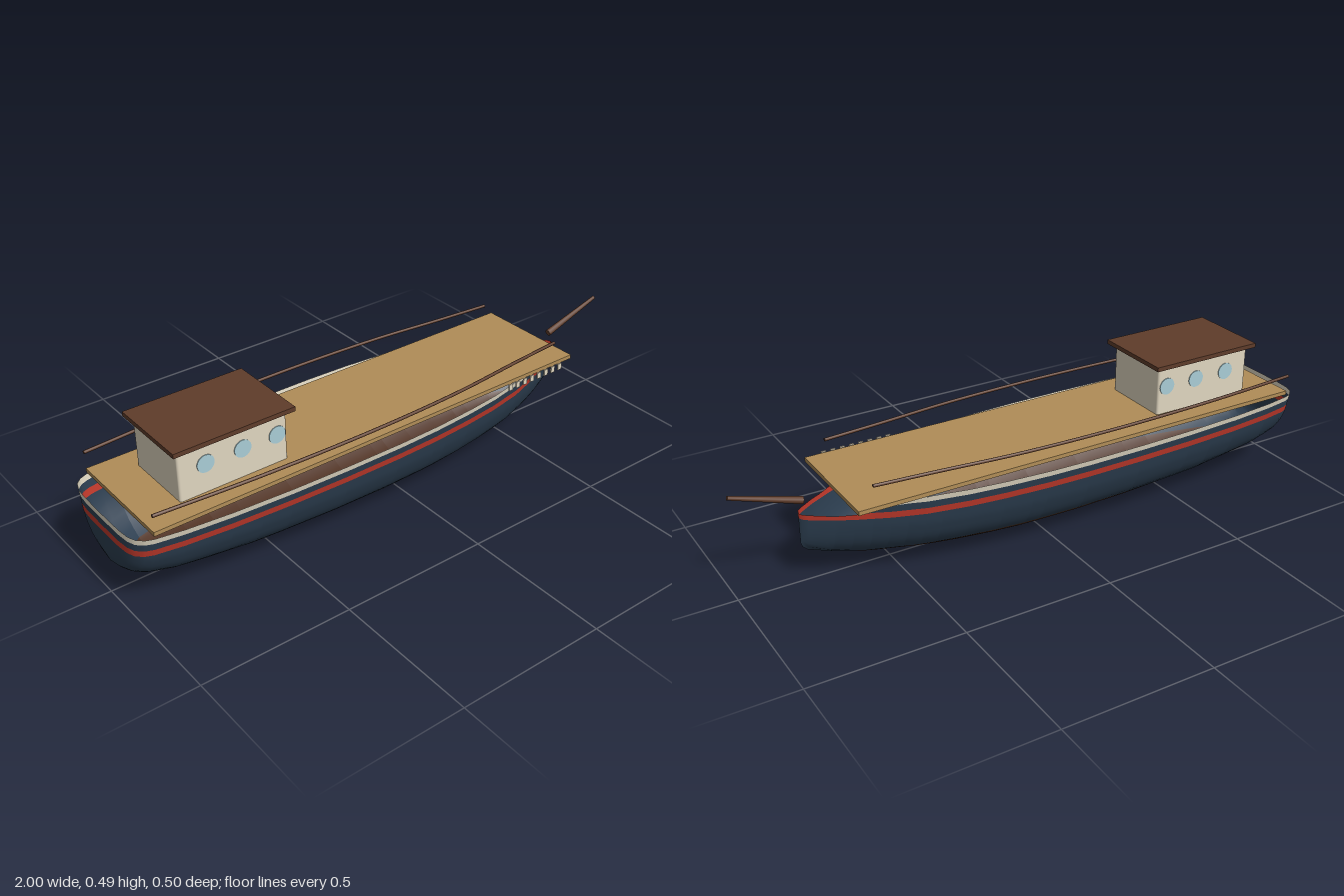
import * as THREE from 'three';
import { RoundedBoxGeometry } from 'three/addons/geometries/RoundedBoxGeometry.js';

const mat = (name, color, side = THREE.FrontSide) =>
  Object.assign(new THREE.MeshStandardMaterial({ color, side }), { name });

// Smooth-enough lookup in a short list of [x, value] pairs
function lookup(table, x) {
  let i = 1;
  while (i < table.length - 1 && table[i][0] < x) i++;
  const [x0, a] = table[i - 1], [x1, b] = table[i];
  return THREE.MathUtils.lerp(a, b, THREE.MathUtils.clamp((x - x0) / (x1 - x0), 0, 1));
}

// Hull lines: half width in plan, keel height, sheer height, section fullness
const PLAN = [[-1, 0], [-0.999, 0.1], [-0.995, 0.145], [-0.985, 0.173], [-0.965, 0.192], [-0.94, 0.202], [-0.85, 0.217],
  [-0.7, 0.232], [-0.5, 0.243], [-0.3, 0.248], [-0.1, 0.248], [0.05, 0.243], [0.2, 0.231], [0.32, 0.216],
  [0.45, 0.189], [0.55, 0.153], [0.65, 0.106], [0.72, 0.066], [0.77, 0.03], [0.785, 0.015], [0.79, 0]];
const KEEL = [[-1, 0.14], [-0.99, 0.112], [-0.97, 0.092], [-0.94, 0.075], [-0.85, 0.05], [-0.6, 0.02],
  [-0.3, 0.005], [-0.1, 0.001], [0.1, 0.002], [0.2, 0.008], [0.4, 0.024], [0.6, 0.052], [0.7, 0.077], [0.77, 0.105], [0.785, 0.118], [0.79, 0.135]];
const SHEER = [[0.44, 0.285], [0.5, 0.278], [0.55, 0.263], [0.6, 0.247], [0.65, 0.238], [0.69, 0.235], [0.79, 0.237]];
const SECTION = [[0, 0], [0.015, 0.1], [0.07, 0.32], [0.13, 0.47], [0.21, 0.61], [0.31, 0.73], [0.42, 0.815],
  [0.6, 0.905], [0.82, 0.96], [1, 1]];

// Hull shell lofted from cross-sections, with one material group per paint band
function hullGeometry() {
  const levels = [0, 0.075, 0.22, 0.242, 0.266, 0.285], steps = [7, 8, 1, 1, 1];
  const rows = [];
  steps.forEach((n, band) => {
    for (let k = 0; k < n; k++) rows.push({ band, t: band === 0 ? (k / n) ** 1.6 : k / n });
  });
  rows.push({ band: 4, t: 1 });
  const n = rows.length - 1;

  const xs = [...new Set([...PLAN, ...KEEL, ...SHEER].map(p => p[0]))];
  for (let x = -0.9; x < 0.75; x += 0.0501) xs.push(x);
  xs.sort((a, b) => a - b);

  const pos = [];
  for (const x of xs) {
    const keel = lookup(KEEL, x), top = lookup(SHEER, x), half = lookup(PLAN, x);
    for (let j = -n; j <= n; j++) {
      const { band, t } = rows[Math.abs(j)];
      const lo = THREE.MathUtils.clamp(levels[band], keel, top);
      const hi = THREE.MathUtils.clamp(levels[band + 1], keel, top);
      const y = THREE.MathUtils.lerp(lo, hi, t);
      const w = half * lookup(SECTION, (y - keel) / (0.285 - keel));
      pos.push(x, y, Math.sign(j) * w);
    }
  }
  const geo = new THREE.BufferGeometry();
  const index = [], ring = 2 * n + 1;
  steps.forEach((_, band) => {
    const start = index.length;
    for (let j = -n; j < n; j++) {
      const row = j < 0 ? -j - 1 : j;
      if (rows[row].band !== band) continue;
      for (let i = 0; i < xs.length - 1; i++) {
        const a = i * ring + j + n, b = a + ring;
        index.push(a, b, a + 1, b, b + 1, a + 1);
      }
    }
    geo.addGroup(start, index.length - start, band);
  });
  geo.setAttribute('position', new THREE.Float32BufferAttribute(pos, 3));
  geo.setIndex(index);
  geo.computeVertexNormals();
  return geo;
}

export function createModel() {
  const model = new THREE.Group();
  model.name = 'boat';
  const navy = mat('navy paint', 0x2c3e50, THREE.DoubleSide);
  const red = mat('red stripe', 0xc0392b, THREE.DoubleSide);
  const bottom = mat('bottom paint', 0x4e2f1e, THREE.DoubleSide);
  const trim = mat('cream trim', 0xe0d8c3, THREE.DoubleSide);
  const cream = mat('cream paint', 0xe0d6c0);
  const deckWood = mat('deck wood', 0xb08d57);
  const wood = mat('dark wood', 0x5f3c2a);
  const glass = mat('window glass', 0xa9cdd6);

  const add = (name, geo, material, x = 0, y = 0, z = 0) => {
    const mesh = new THREE.Mesh(geo, material);
    mesh.name = name;
    mesh.position.set(x, y, z);
    model.add(mesh);
    return mesh;
  };

  add('hull', hullGeometry(), [bottom, navy, red, navy, trim]);
  add('deck', new THREE.BoxGeometry(1.62, 0.014, 0.4), deckWood, -0.13, 0.299, 0);

  // Wheelhouse with a flat overhanging roof
  add('wheelhouse', new RoundedBoxGeometry(0.37, 0.175, 0.248, 3, 0.008), cream, -0.625, 0.386, 0);
  add('roof', new THREE.BoxGeometry(0.41, 0.015, 0.288), wood, -0.625, 0.48, 0);

  for (const side of [1, -1]) {
    // Round windows on both sides
    for (const x of [-0.72, -0.595, -0.475]) {
      const pane = add('window', new THREE.CylinderGeometry(0.029, 0.029, 0.004, 24), glass, x, 0.403, side * 0.1245);
      pane.rotation.x = Math.PI / 2;
    }
    // Handrail following the hull side
    const path = new THREE.CatmullRomCurve3([[-0.94, 0.2], [-0.6, 0.223], [-0.2, 0.232], [0.15, 0.22], [0.42, 0.193], [0.62, 0.175]]
      .map(([x, z]) => new THREE.Vector3(x, 0.362, side * z)));
    add('handrail', new THREE.TubeGeometry(path, 40, 0.0055, 8), wood);
    for (const [end, dir] of [[0, -1], [1, 1]]) {
      const p = path.getPoint(end);
      const cap = add('handrailEnd', new THREE.CircleGeometry(0.0055, 8), wood, p.x, p.y, p.z);
      cap.rotation.y = dir * Math.PI / 2;
    }
  }

  // Row of small slats on the left bow
  for (let i = 0; i < 8; i++)
    add('bowSlat', new THREE.BoxGeometry(0.016, 0.022, 0.005), cream, 0.386 + i * 0.032, 0.292, 0.216);

  // Bowsprit
  const from = new THREE.Vector3(0.772, 0.276, 0), to = new THREE.Vector3(0.998, 0.348, 0);
  const dir = to.clone().sub(from);
  const sprit = add('bowsprit', new THREE.CylinderGeometry(0.0065, 0.012, dir.length(), 12), wood);
  sprit.position.copy(from).add(to).multiplyScalar(0.5);
  sprit.quaternion.setFromUnitVectors(new THREE.Vector3(0, 1, 0), dir.normalize());

  return model;
}
